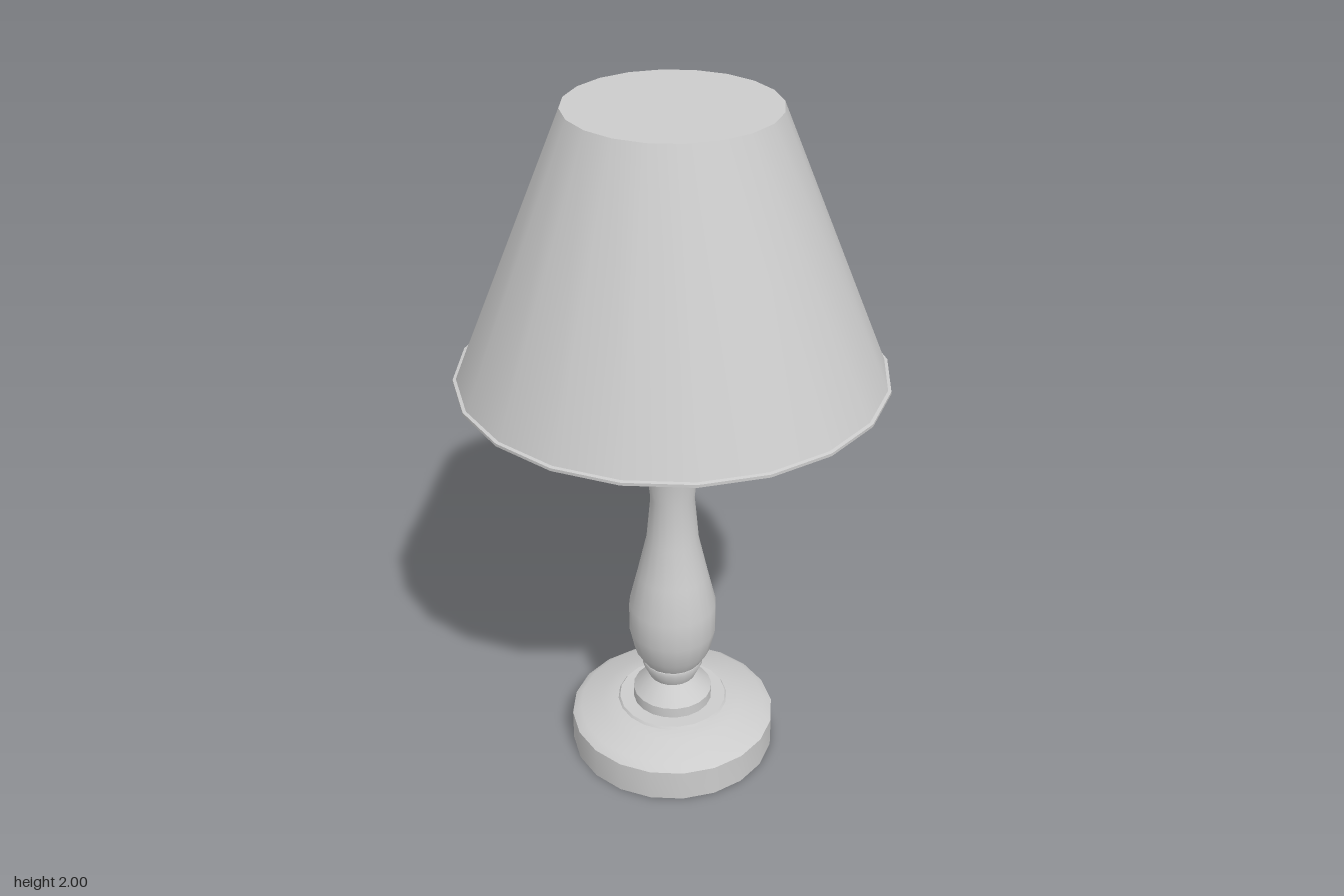
import * as THREE from 'three';
import { toCreasedNormals } from 'three/addons/utils/BufferGeometryUtils.js';

const SIDES = 20;

export function createModel() {
  const lamp = new THREE.Group();
  lamp.name = 'tableLamp';
  const material = new THREE.MeshStandardMaterial({ color: 0xcccccc });

  function add(name, geometry) {
    const mesh = new THREE.Mesh(geometry, material);
    mesh.name = name;
    lamp.add(mesh);
    return mesh;
  }

  // Turned part from [radius, height] points, listed bottom to top
  function turned(name, points, crease = 0.7) {
    const profile = points.map(([r, y]) => new THREE.Vector2(r, y));
    return add(name, toCreasedNormals(new THREE.LatheGeometry(profile, SIDES), crease));
  }

  // Flat disc closing a turned part, facing up (1) or down (-1)
  function disc(name, radius, y, facing) {
    const geometry = new THREE.CircleGeometry(radius, SIDES);
    geometry.rotateX(-facing * Math.PI / 2);
    add(name, geometry).position.y = y;
  }

  // Base: round foot with a softened shoulder and a raised step
  turned('base', [
    [0.305, 0], [0.305, 0.097], [0.28, 0.115], [0.215, 0.13],
    [0.2, 0.137], [0.165, 0.143], [0.16, 0.15], [0.1, 0.15],
  ]);
  disc('baseUnderside', 0.305, 0, -1);

  // Collar between the base and the stem
  turned('collar', [
    [0.118, 0.145], [0.118, 0.183], [0.09, 0.212], [0.07, 0.235],
    [0.09, 0.278], [0.088, 0.29], [0.06, 0.293],
  ]);

  // Stem: baluster with a full belly, narrow waist and moulded head
  turned('stem', [
    [0.07, 0.288], [0.088, 0.292], [0.113, 0.335], [0.128, 0.405], [0.128, 0.495],
    [0.103, 0.6], [0.076, 0.72], [0.063, 0.86], [0.076, 0.98],
    [0.083, 1.02], [0.105, 1.105], [0.095, 1.14], [0.11, 1.185],
    [0.11, 1.215], [0.07, 1.24], [0.07, 1.26],
  ], 0.8);

  // Shade: closed tapering drum with a thin rim
  turned('shade', [[0.58, 1.265], [0.28, 2]]);
  turned('shadeRim', [[0.588, 1.257], [0.588, 1.265], [0.575, 1.268]], 0.6);
  disc('shadeTop', 0.28, 2, 1);
  disc('shadeUnderside', 0.588, 1.257, -1);

  return lamp;
}
